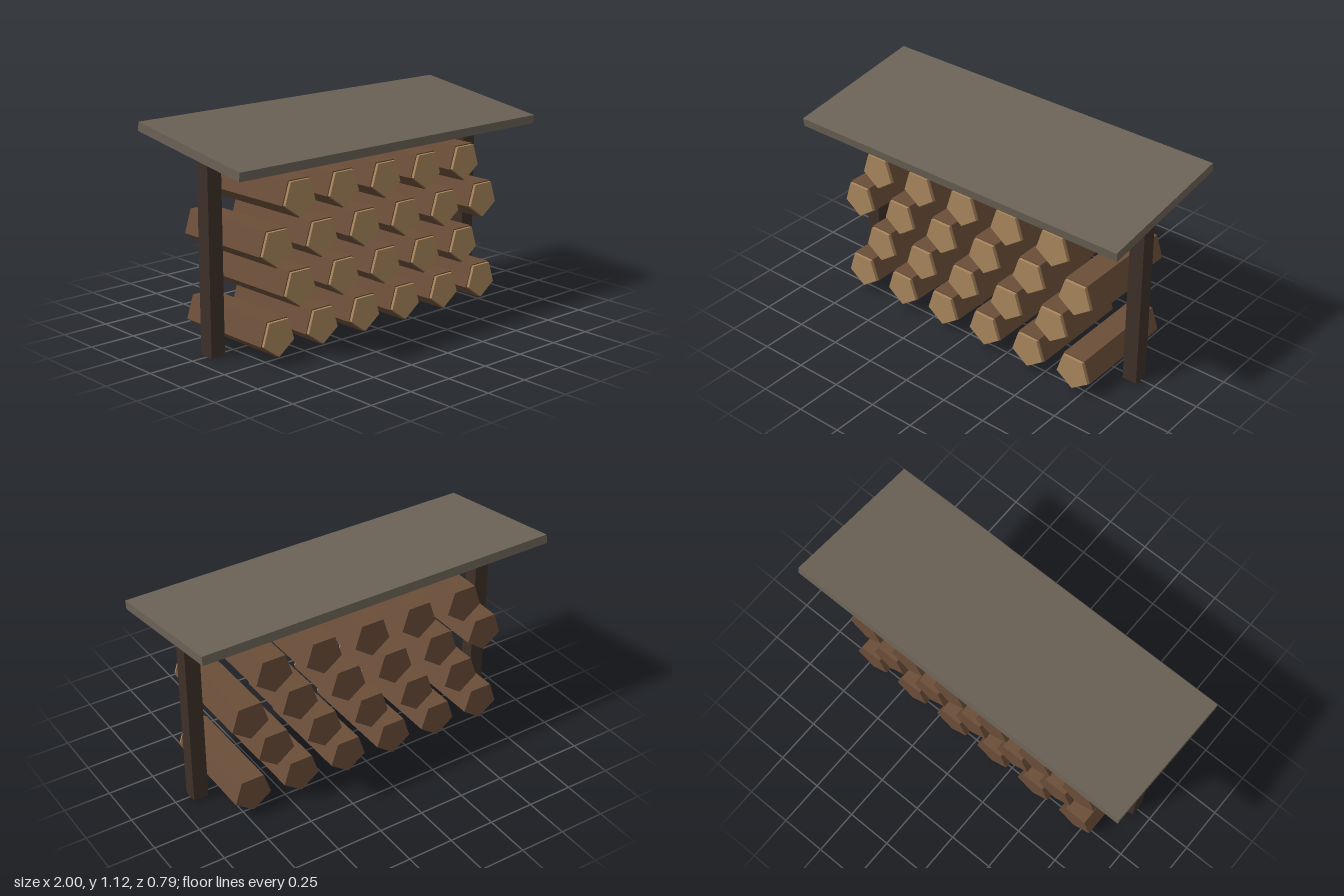
import * as THREE from 'three';

const mat = (color) => new THREE.MeshStandardMaterial({ color, flatShading: true });

export function createModel() {
  const group = new THREE.Group();
  group.name = 'firewoodShelter';
  const roofMat = mat(0x6b6256);
  const postMat = mat(0x3e3028);
  const barkMat = mat(0x6b4e39);
  const cutMat = mat(0xa8855c);

  const add = (parent, name, geometry, material, x, y, z) => {
    const mesh = new THREE.Mesh(geometry, material);
    mesh.name = name;
    mesh.position.set(x, y, z);
    parent.add(mesh);
    return mesh;
  };

  // Sloping roof board, lower at the front
  const roof = add(group, 'roof', new THREE.BoxGeometry(2, 0.047, 0.792), roofMat, 0, 1.042, 0);
  roof.rotation.x = 0.149;

  // Side posts
  const postGeo = new THREE.BoxGeometry(0.082, 1, 0.082);
  for (const [name, side] of [['leftPost', 1], ['rightPost', -1]]) {
    add(group, name, postGeo, postMat, side * 0.874, 0.5, 0);
  }

  // Five-sided logs lying along z, one edge down, with a pale cut face in front
  const logGeo = new THREE.CylinderGeometry(0.107, 0.107, 0.585, 5).rotateX(Math.PI / 2);
  const cutGeo = new THREE.CylinderGeometry(0.1, 0.1, 0.02, 5).rotateX(Math.PI / 2);
  const spacing = 0.2836;

  // Staggered rows of six and five
  for (let row = 0; row < 4; row++) {
    const count = row % 2 === 0 ? 6 : 5;
    for (let i = 0; i < count; i++) {
      const log = new THREE.Group();
      log.name = `log${row + 1}_${i + 1}`;
      log.position.set((i - (count - 1) / 2) * spacing, 0.134 + row * 0.224, 0);
      add(log, 'bark', logGeo, barkMat, 0, 0, 0);
      add(log, 'cutFace', cutGeo, cutMat, 0, 0, 0.298);
      group.add(log);
    }
  }
  return group;
}
